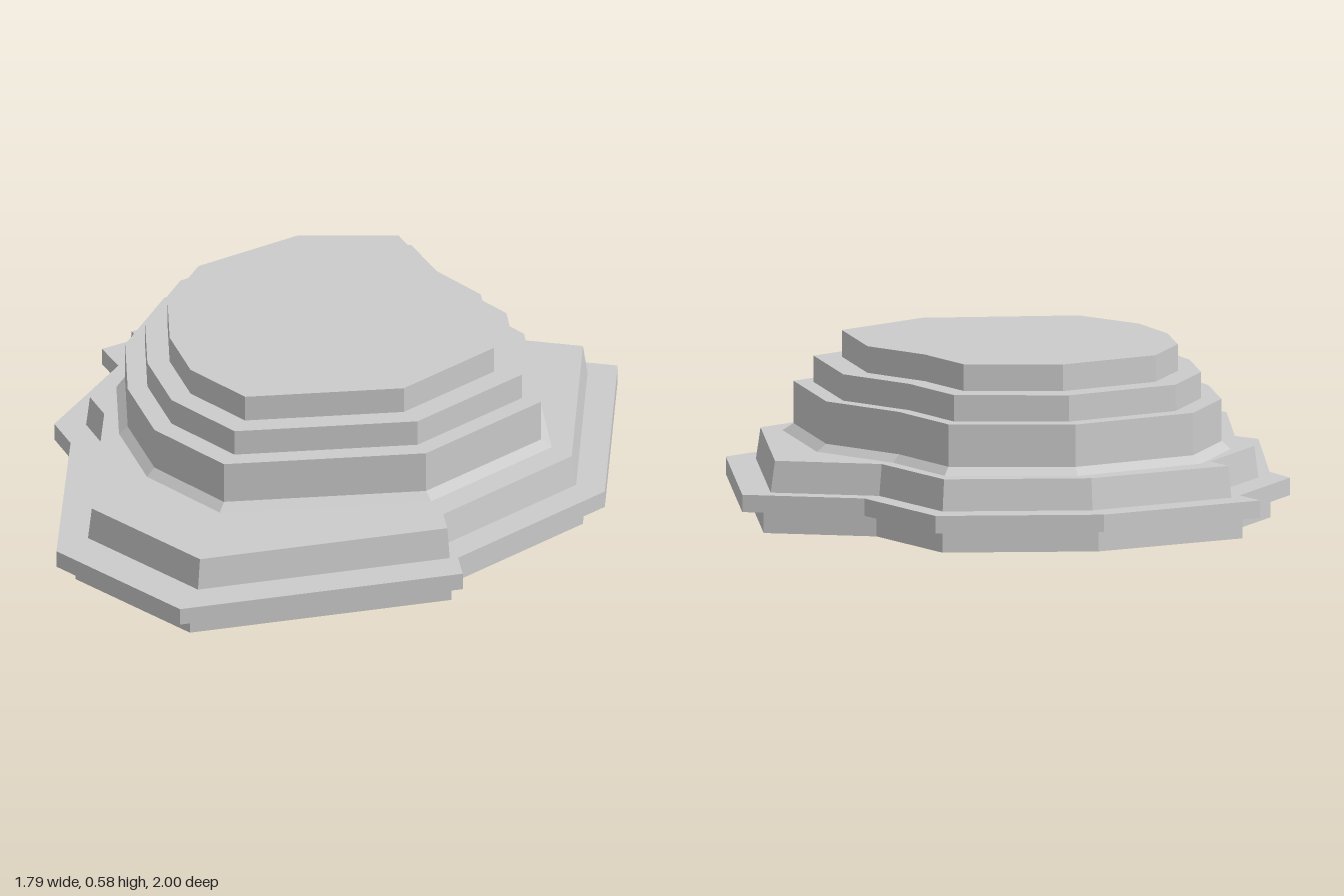
import * as THREE from 'three';

// Plan outlines as [x, z] corners
const BASE = [
  [0.33, -1.0], [0.85, -0.42], [0.81, 0.18], [0.89, 0.24], [0.41, 0.99], [-0.12, 0.995], [-0.56, 0.49],
  [-0.68, 0.44], [-0.79, 0.05], [-0.9, 0.01], [-0.73, -0.55], [-0.37, -0.93], [0.01, -0.8],
];
const CROWN = [
  [0.31, -0.655], [0.66, -0.38], [0.625, 0.11], [0.2, 0.605], [-0.12, 0.6], [-0.37, 0.47],
  [-0.58, 0.27], [-0.7, -0.03], [-0.58, -0.49], [-0.28, -0.77], [0.0, -0.67],
];

// The whole rock leans gently forward
const TILT = -0.0235;

const material = new THREE.MeshStandardMaterial({ color: 0xcccccc, flatShading: true });

// Slab between two heights, with its own scale of the outline at bottom and top
function slab(name, outline, y0, y1, bottomScale, topScale, shiftZ) {
  const shape = new THREE.Shape(outline.map(([x, z]) => new THREE.Vector2(x, -z)));
  const geo = new THREE.ExtrudeGeometry(shape, { depth: 1, bevelEnabled: false });
  geo.rotateX(-Math.PI / 2);
  const p = geo.attributes.position;
  for (let i = 0; i < p.count; i++) {
    const top = p.getY(i) > 0.5;
    const s = top ? topScale : bottomScale;
    const z = p.getZ(i) * s + shiftZ;
    p.setXYZ(i, p.getX(i) * s, (top ? y1 : y0) + TILT * z, z);
  }
  geo.computeVertexNormals();
  const mesh = new THREE.Mesh(geo, material);
  mesh.name = name;
  return mesh;
}

export function createModel() {
  const group = new THREE.Group();
  group.name = 'terracedRock';
  group.add(
    // Wide lower ledges
    slab('foot', BASE, 0.022, 0.093, 0.925, 0.925, 0),
    slab('overhangingLedge', BASE, 0.093, 0.147, 1, 1, 0),
    slab('lowerTerrace', BASE, 0.147, 0.245, 0.89, 0.875, -0.015),
    // Rounder upper steps
    slab('crownFlare', CROWN, 0.245, 0.268, 1, 0.955, 0),
    slab('crownWall', CROWN, 0.268, 0.4, 0.955, 0.955, 0),
    slab('upperStep', CROWN, 0.4, 0.482, 0.865, 0.865, -0.01),
    slab('topStep', CROWN, 0.482, 0.565, 0.75, 0.75, -0.01),
  );
  return group;
}
